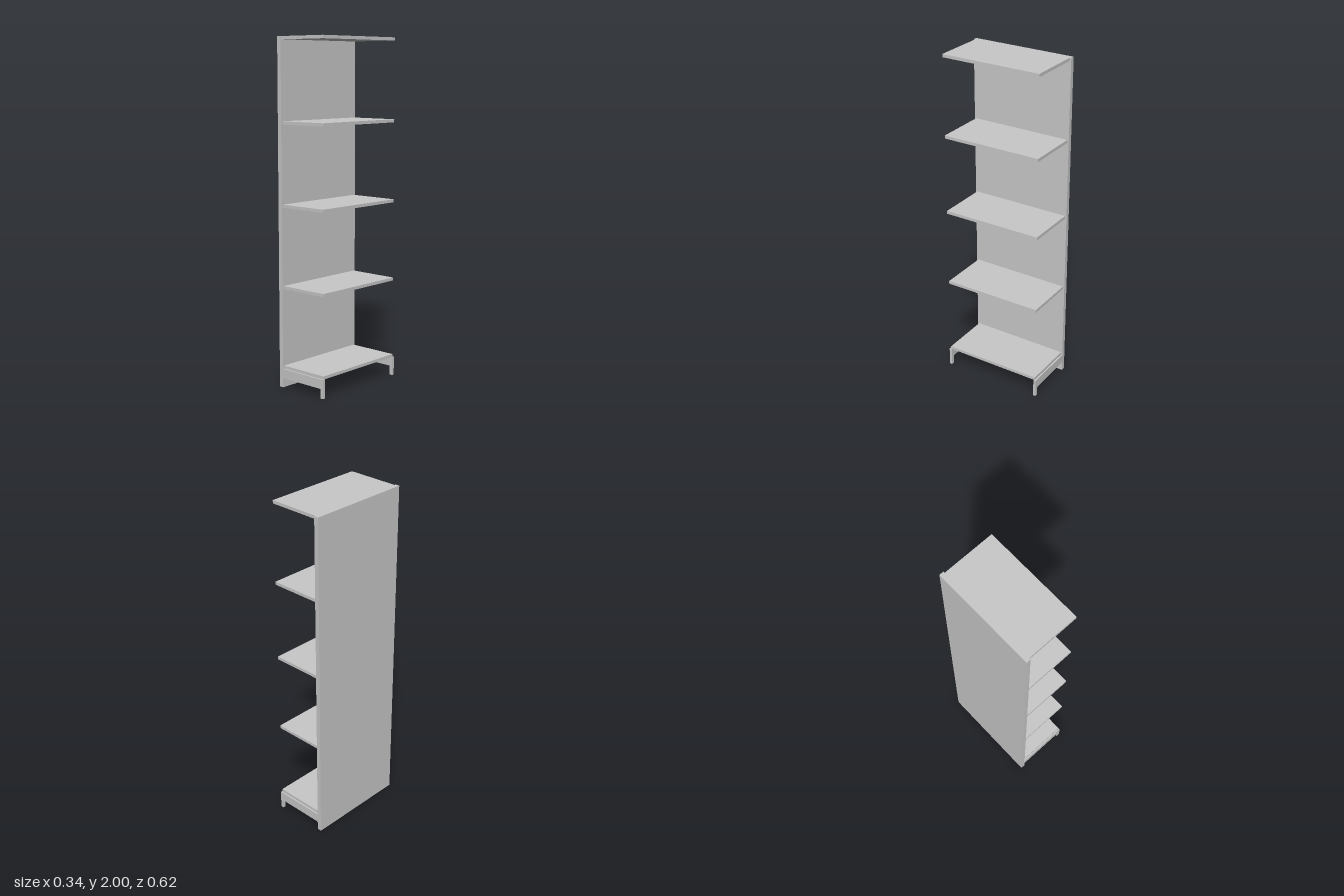
import * as THREE from 'three';

export function createModel() {
  const group = new THREE.Group();
  const grey = new THREE.MeshStandardMaterial({ color: 0xc8c8c8 });
  grey.name = 'light grey';

  // Box given by its minimum and maximum corners
  const addBox = (name, x0, x1, y0, y1, z0, z1) => {
    const mesh = new THREE.Mesh(new THREE.BoxGeometry(x1 - x0, y1 - y0, z1 - z0), grey);
    mesh.position.set((x0 + x1) / 2, (y0 + y1) / 2, (z0 + z1) / 2);
    mesh.name = name;
    group.add(mesh);
  };

  // Tall back panel standing on the floor
  addBox('backPanel', -0.171, -0.145, 0, 2, -0.311, 0.311);

  // Five evenly spaced shelves
  for (let i = 0; i < 5; i++) {
    const top = 0.128 + i * 0.468;
    addBox('shelf' + (i + 1), -0.145, 0.166, top - 0.018, top, -0.302, 0.302);
  }

  // Base brackets: a side rail with a front foot, mirrored
  const outline = new THREE.Shape([
    [-0.145, 0.055], [0.15, 0.055], [0.15, 0], [0.17, 0], [0.17, 0.11], [-0.145, 0.11],
  ].map(([x, y]) => new THREE.Vector2(x, y)));
  const depth = 0.016;
  const bracket = new THREE.ExtrudeGeometry(outline, { depth, bevelEnabled: false });
  for (const [name, z] of [['leftBracket', 0.311 - depth], ['rightBracket', -0.311]]) {
    const mesh = new THREE.Mesh(bracket, grey);
    mesh.position.z = z;
    mesh.name = name;
    group.add(mesh);
  }

  return group;
}
